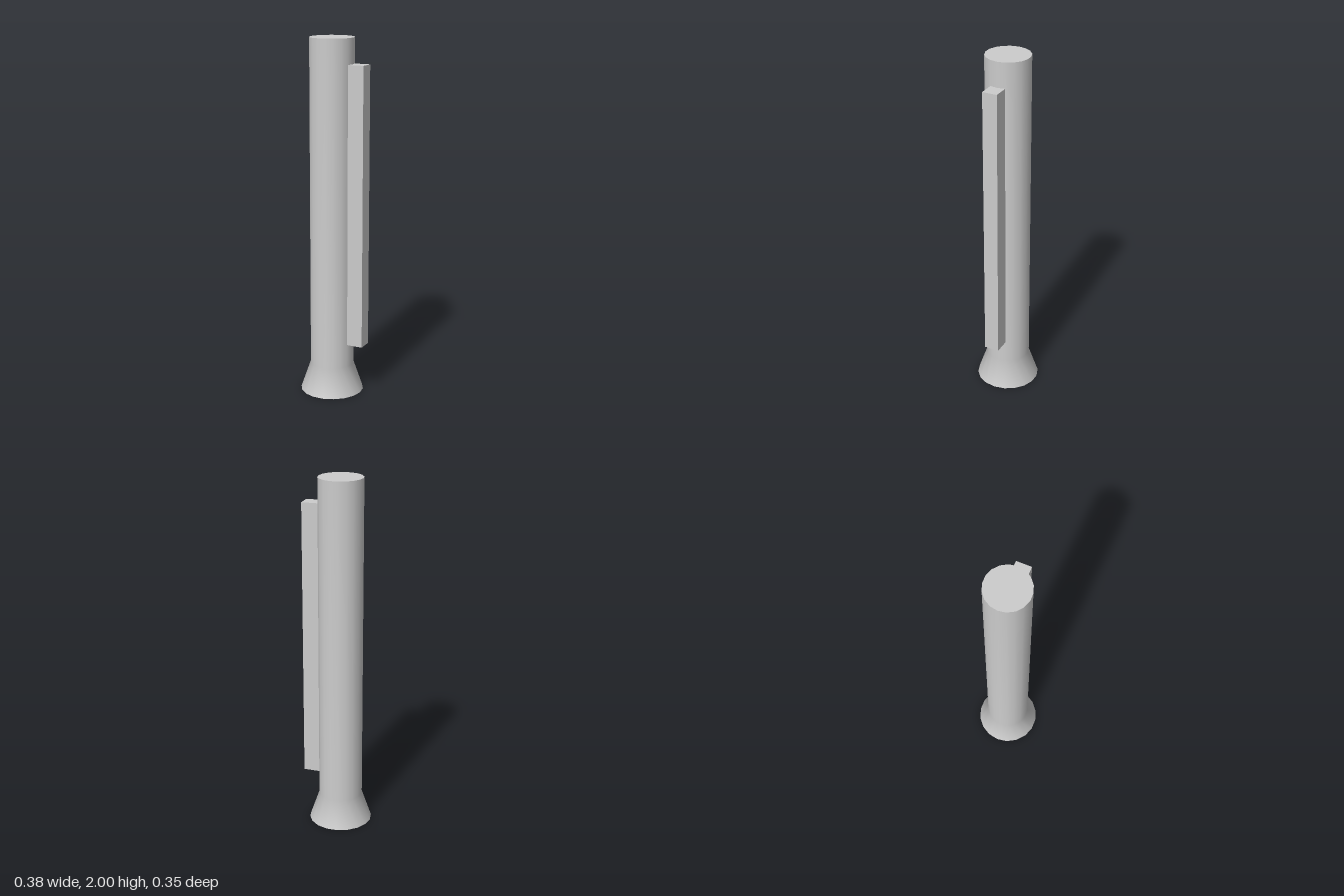
import * as THREE from 'three';

const SIDES = 18;
const FOOT_RADIUS = 0.178, SHAFT_RADIUS = 0.123;
const FLARE_TOP = 0.16, HEIGHT = 2;

export function createModel() {
  const model = new THREE.Group();
  const grey = new THREE.MeshStandardMaterial({ color: 0xcccccc });

  const add = (name, geometry, x, y, z, parent = model) => {
    const mesh = new THREE.Mesh(geometry, grey);
    mesh.name = name;
    mesh.position.set(x, y, z);
    parent.add(mesh);
  };

  const post = new THREE.Group();
  post.name = 'post';
  post.position.set(-0.015, 0, -0.001);
  model.add(post);

  // Shaft and flared foot as one smooth turned surface
  const profile = [
    [FOOT_RADIUS, 0],
    [SHAFT_RADIUS, FLARE_TOP],
    [SHAFT_RADIUS, HEIGHT],
  ].map(([r, y]) => new THREE.Vector2(r, y));
  add('shaftAndFoot', new THREE.LatheGeometry(profile, SIDES, Math.PI / 2), 0, 0, 0, post);

  // Flat end caps
  add('topCap', new THREE.CircleGeometry(SHAFT_RADIUS, SIDES).rotateX(-Math.PI / 2), 0, HEIGHT, 0, post);
  add('bottomCap', new THREE.CircleGeometry(FOOT_RADIUS, SIDES).rotateX(Math.PI / 2), 0, 0, 0, post);

  // Long rail set into the left side of the shaft
  const inner = 0.09, outer = 0.191, low = 0.29, high = 1.86;
  add('sideRail', new THREE.BoxGeometry(outer - inner, high - low, 0.084),
    (inner + outer) / 2, (low + high) / 2, -0.001);

  return model;
}
